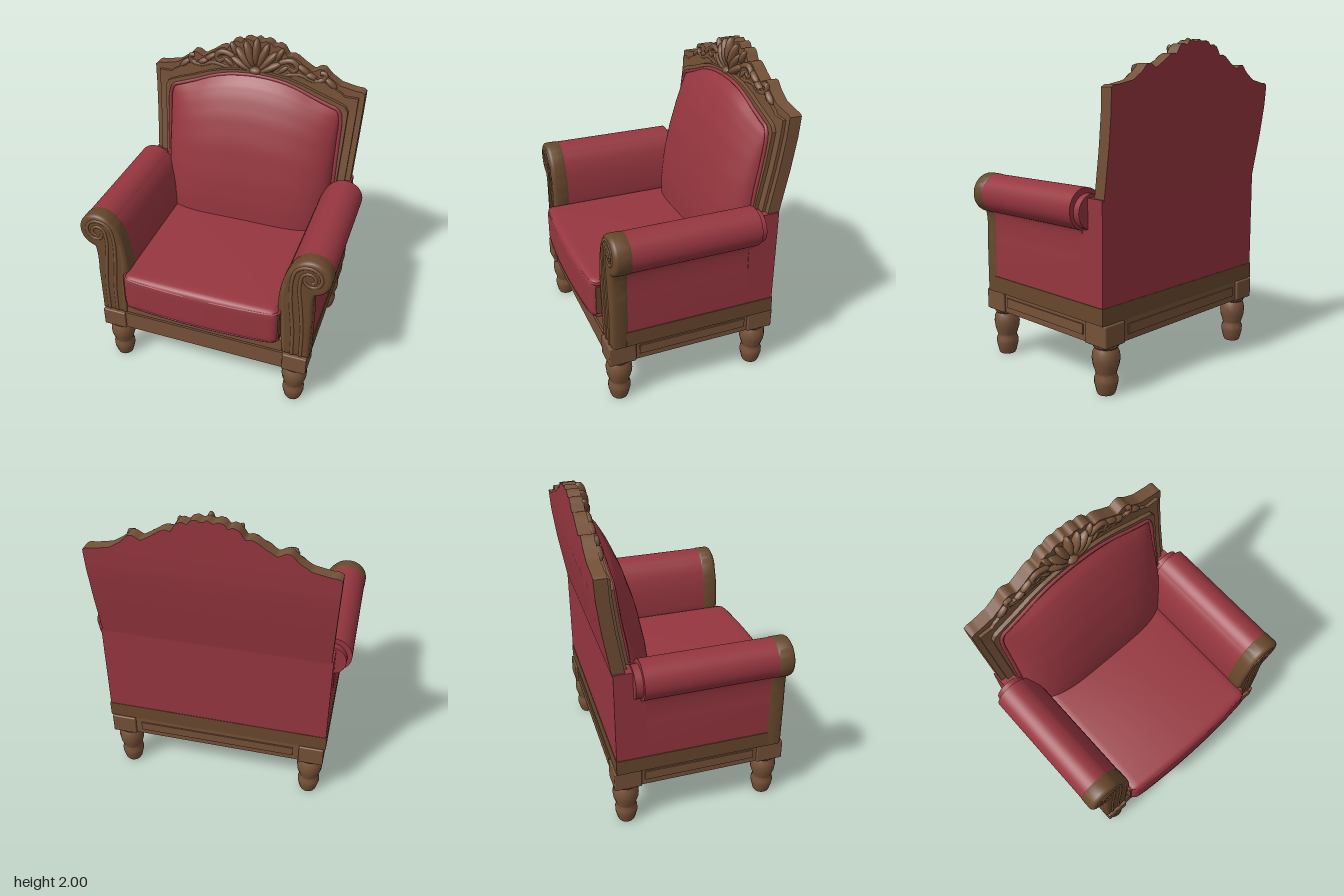
import * as THREE from 'three';
import { mergeVertices, toCreasedNormals } from 'three/addons/utils/BufferGeometryUtils.js';
import { RoundedBoxGeometry } from 'three/addons/geometries/RoundedBoxGeometry.js';

// piecewise-linear lookup in a short list of [input, output] pairs
function lookup(table, t) {
  if (t <= table[0][0]) return table[0][1];
  for (let i = 1; i < table.length; i++) {
    const [a, fa] = table[i - 1], [b, fb] = table[i];
    if (t <= b) return fa + (fb - fa) * (t - a) / (b - a);
  }
  return table[table.length - 1][1];
}

// carved crest line, inner arch, and backward rake of the backrest
const CREST = [[0, 1.99], [0.03, 1.972], [0.06, 1.985], [0.09, 1.978], [0.11, 1.95], [0.135, 1.965], [0.17, 1.95],
  [0.2, 1.9], [0.23, 1.908], [0.26, 1.895], [0.31, 1.86], [0.37, 1.825], [0.41, 1.85], [0.44, 1.848], [0.48, 1.805],
  [0.55, 1.76], [0.65, 1.74], [0.69, 1.738], [0.71, 1.725]];
const ARCH = [[0, 1.765], [0.1, 1.76], [0.2, 1.745], [0.3, 1.715], [0.4, 1.675], [0.5, 1.64], [0.56, 1.615], [0.58, 1.58]];
const RAKE = [[1.1, 0], [1.25, -0.025], [1.4, -0.05], [1.6, -0.075], [1.75, -0.083], [2, -0.085]];
const crest = x => lookup(CREST, Math.abs(x));
const arch = x => lookup(ARCH, Math.abs(x));
const rake = y => lookup(RAKE, y);

// raked slab whose upper edge follows a rule
function slab(y0, halfWidth, top, zBack, zFront) {
  const g = new THREE.BoxGeometry(2, 1, 1, 120, 14, 1), p = g.attributes.position;
  for (let i = 0; i < p.count; i++) {
    const x = p.getX(i) * halfWidth;
    const y = y0 + (p.getY(i) + 0.5) * (top(x) - y0);
    const z = p.getZ(i) > 0 ? zFront : zBack;
    p.setXYZ(i, x * (0.97 + 0.03 * Math.min(1, (y - 1.1) / 0.6)), y, z + rake(y));
  }
  g.computeVertexNormals();
  return g;
}

// soft domed seat cushion
function cushion(w, h, d, r) {
  let g = new THREE.BoxGeometry(2, 2, 2, 24, 14, 24);
  const p = g.attributes.position, half = new THREE.Vector3(w / 2, h / 2, d / 2);
  const core = half.clone().subScalar(r), v = new THREE.Vector3(), c = new THREE.Vector3();
  for (let i = 0; i < p.count; i++) {
    v.fromBufferAttribute(p, i);
    const u = [v.x, v.y, v.z].map(t => Math.sin(t * Math.PI / 2));
    v.set(u[0], u[1], u[2]).multiply(half);
    c.copy(v).clamp(core.clone().negate(), core);
    v.sub(c).setLength(r).add(c);
    if (v.y > 0) v.y += 0.025 * (1 - u[0] ** 2) * (1 - u[2] ** 2 * 0.5);
    if (v.z > 0) v.z -= 0.025 * u[0] ** 2 * Math.max(0, u[2]);
    p.setXYZ(i, v.x, v.y, v.z);
  }
  g.deleteAttribute('uv');
  g.deleteAttribute('normal');
  g = mergeVertices(g, 1e-5);
  g.computeVertexNormals();
  return g;
}

// bulging pillow front for the backrest
function pillow() {
  const g = new THREE.PlaneGeometry(2, 1, 40, 32), p = g.attributes.position;
  const front = [[0, -0.21], [0.3, -0.215], [0.45, -0.235], [0.65, -0.28], [0.8, -0.335], [0.9, -0.385], [0.96, -0.425], [1, -0.47]];
  for (let i = 0; i < p.count; i++) {
    const u = Math.sin(p.getX(i) * Math.PI / 2), v = Math.sin((p.getY(i) + 0.5) * Math.PI / 2);
    const x = u * 0.575, y = 0.6 + v * (arch(x) - 0.6);
    const edge = -0.41 + rake(y);
    p.setXYZ(i, x, y, edge + (lookup(front, v) - edge) * Math.sqrt(Math.max(0, 1 - u ** 4)));
  }
  g.computeVertexNormals();
  return g;
}

// arm cross-section with rolled top, side is +1 or -1
function armShape(side) {
  const s = new THREE.Shape();
  s.moveTo(0.53, 0.43);
  s.lineTo(0.515, 0.6);
  s.lineTo(0.49, 0.8);
  s.quadraticCurveTo(0.495, 1.06, 0.583, 1.139);
  s.absarc(0.675, 1.062, 0.12, 2.44, -1.3, true);
  s.quadraticCurveTo(0.69, 0.9, 0.7, 0.75);
  s.lineTo(0.7, 0.43);
  return new THREE.Shape(s.getPoints(16).map(q => new THREE.Vector2(q.x * side, q.y)));
}

export function createModel() {
  const model = new THREE.Group();
  const mat = (name, color) => new THREE.MeshStandardMaterial({ name, color });
  const red = mat('red upholstery', 0x96363f);
  const wood = mat('carved wood', 0x755138);
  const dark = mat('shaded wood', 0x68482d);
  const add = (name, geo, material, x = 0, y = 0, z = 0) => {
    const m = new THREE.Mesh(geo, material);
    m.name = name;
    m.position.set(x, y, z);
    model.add(m);
    return m;
  };
  const box = (name, material, x0, x1, y0, y1, z0, z1, r = 0) => add(name,
    r ? new RoundedBoxGeometry(x1 - x0, y1 - y0, z1 - z0, 3, r) : new THREE.BoxGeometry(x1 - x0, y1 - y0, z1 - z0),
    material, (x0 + x1) / 2, (y0 + y1) / 2, (z0 + z1) / 2);
  const tube = (name, pts, r, material, tension = 0.5) => add(name, new THREE.TubeGeometry(
    new THREE.CatmullRomCurve3(pts.map(q => new THREE.Vector3(...q)), false, 'catmullrom', tension),
    pts.length * 5, r, 8), material);
  const blob = (name, x, y, z, sx, sy, sz, turn) => {
    const m = add(name, new THREE.SphereGeometry(1, 16, 12), wood, x, y, z);
    m.scale.set(sx, sy, sz);
    m.rotation.z = turn;
  };

  // turned legs and corner blocks
  const legProfile = [[0, 0], [0.05, 0], [0.056, 0.012], [0.07, 0.07], [0.07, 0.095], [0.06, 0.12], [0.064, 0.135],
    [0.078, 0.18], [0.082, 0.215], [0.078, 0.25], [0.066, 0.275], [0.075, 0.285], [0.075, 0.31]];
  const legGeo = toCreasedNormals(new THREE.LatheGeometry(legProfile.map(q => new THREE.Vector2(...q)), 16), 0.7);
  for (const s of [-1, 1]) {
    for (const z of [0.46, -0.457]) {
      add('leg', legGeo, wood, s * 0.608, 0, z);
      box('cornerBlock', wood, s * 0.617 - 0.078, s * 0.617 + 0.078, 0.3, 0.43, z - 0.085, z + 0.085, 0.008);
    }
    box('sideRailMoulding', wood, s * 0.682 - 0.006, s * 0.682 + 0.006, 0.34, 0.4, -0.35, 0.35);
  }

  // base frame
  box('baseFrame', wood, -0.68, 0.68, 0.302, 0.43, -0.525, 0.53);
  box('backRailMoulding', wood, -0.5, 0.5, 0.34, 0.4, -0.533, -0.52);
  box('lowerBand', dark, -0.705, 0.705, 0.43, 0.53, -0.528, 0.44);
  box('frontRail', wood, -0.54, 0.54, 0.42, 0.54, 0.3, 0.52, 0.02);

  // lower upholstered body
  box('bodyBack', red, -0.7, 0.7, 0.53, 1.13, -0.525, -0.4);
  box('bodyBackFill', red, -0.7, 0.7, 0.53, 0.95, -0.42, -0.34);

  // seat cushion with piping
  add('seatCushion', cushion(1.02, 0.265, 0.95, 0.045), red, 0, 0.662, 0.135);
  for (const y of [0.772, 0.552]) {
    tube('seatPiping', [[-0.505, y, 0.2], [-0.505, y, 0.5], [-0.485, y, 0.57], [-0.25, y, 0.594], [0, y, 0.6],
      [0.25, y, 0.594], [0.485, y, 0.57], [0.505, y, 0.5], [0.505, y, 0.2]], 0.009, red);
  }

  for (const s of [-1, 1]) {
    box('cushionSidePanel', dark, s * 0.51 - 0.004, s * 0.51 + 0.004, 0.57, 0.755, 0.5, 0.558);

    // rolled arm and wooden arm front
    const arm = new THREE.ExtrudeGeometry(armShape(s), { depth: 0.81, bevelEnabled: false, curveSegments: 16 });
    add('arm', toCreasedNormals(arm, 0.6), red, 0, 0, -0.37);
    const post = new THREE.ExtrudeGeometry(armShape(s), {
      depth: 0.065, bevelThickness: 0.025, bevelSize: 0.025, bevelOffset: -0.022, bevelSegments: 4 });
    add('armFront', toCreasedNormals(post, 0.6), dark, 0, 0, 0.44);
    const stub = add('armBackStub', new THREE.CylinderGeometry(0.1, 0.1, 0.06, 24), red, s * 0.667, 1.05, -0.383);
    stub.rotation.x = Math.PI / 2;

    // scroll mouldings on the arm front
    const outer = [[0.595, 0.44], [0.59, 0.65], [0.57, 0.85], [0.565, 1.0]];
    const inner = [[0.65, 0.44], [0.648, 0.65], [0.63, 0.85], [0.615, 0.97]];
    for (let i = 0; i <= 12; i++) {
      const a = Math.PI * (0.92 - i * 0.15), r = 0.1 - i * 0.0055;
      outer.push([0.675 + r * Math.cos(a), 1.062 + r * Math.sin(a)]);
    }
    for (let i = 0; i <= 8; i++) {
      const a = Math.PI * (1 - i * 0.17), r = 0.055 - i * 0.004;
      inner.push([0.675 + r * Math.cos(a), 1.062 + r * Math.sin(a)]);
    }
    for (const path of [outer, inner]) tube('armScroll', path.map(([x, y]) => [s * x, y, 0.523]), 0.013, wood);
    tube('armEdgeMoulding', [[s * 0.545, 0.44, 0.52], [s * 0.535, 0.65, 0.52], [s * 0.52, 0.85, 0.52],
      [s * 0.53, 1.0, 0.52]], 0.012, wood);

    // crest leaves and scrolls
    tube('crestScroll', [[0.1, 1.8], [0.16, 1.86], [0.23, 1.88], [0.27, 1.85], [0.25, 1.82], [0.22, 1.835]]
      .map(([x, y]) => [s * x, y, -0.525]), 0.018, wood);
    tube('crestScroll', [[0.2, 1.785], [0.29, 1.8], [0.37, 1.775], [0.44, 1.785], [0.455, 1.825], [0.42, 1.83]]
      .map(([x, y]) => [s * x, y, -0.525]), 0.016, wood);
    for (const [x, y, len, turn] of [[0.15, 1.91, 0.05, -0.5], [0.18, 1.82, 0.05, -0.9], [0.31, 1.835, 0.05, 1.0],
      [0.36, 1.8, 0.045, 1.2], [0.49, 1.77, 0.05, 0.9]]) {
      blob('crestLeaf', s * x, y, -0.528, 0.02, len, 0.025, s * turn);
    }
  }

  // stepped wooden backrest frame, upholstered behind
  add('backFrame', slab(1.12, 0.71, crest, -0.525, -0.45), [wood, wood, wood, wood, wood, red]);
  add('backFrameStep', slab(1.1, 0.675, x => Math.min(crest(x) - 0.035, arch(x) + 0.12), -0.5, -0.43), wood);
  add('backFrameInner', slab(1.0, 0.625, x => arch(x * 0.93) + 0.03, -0.5, -0.405), wood);

  // back pillow with piping
  add('backPillow', pillow(), red);
  const rim = [];
  for (const y of [1.0, 1.2, 1.4, 1.55]) rim.push([-0.583, y, -0.4 + rake(y)]);
  for (let i = -10; i <= 10; i++) {
    const x = i * 0.056, y = arch(x) + 0.003;
    rim.push([x, y, -0.4 + rake(y)]);
  }
  for (const y of [1.55, 1.4, 1.2, 1.0]) rim.push([0.583, y, -0.4 + rake(y)]);
  tube('backPiping', rim, 0.012, red);

  // carved shell at the centre of the crest
  for (let i = -3; i <= 3; i++) {
    const a = i * 0.36, len = 0.23 - 0.012 * Math.abs(i);
    blob('shellPetal', Math.sin(a) * (len - 0.09), 1.77 + Math.cos(a) * (len - 0.09), -0.525, 0.027, 0.09, 0.042, -a);
  }
  blob('shellBoss', 0, 1.79, -0.51, 0.045, 0.025, 0.035, 0);
  return model;
}
